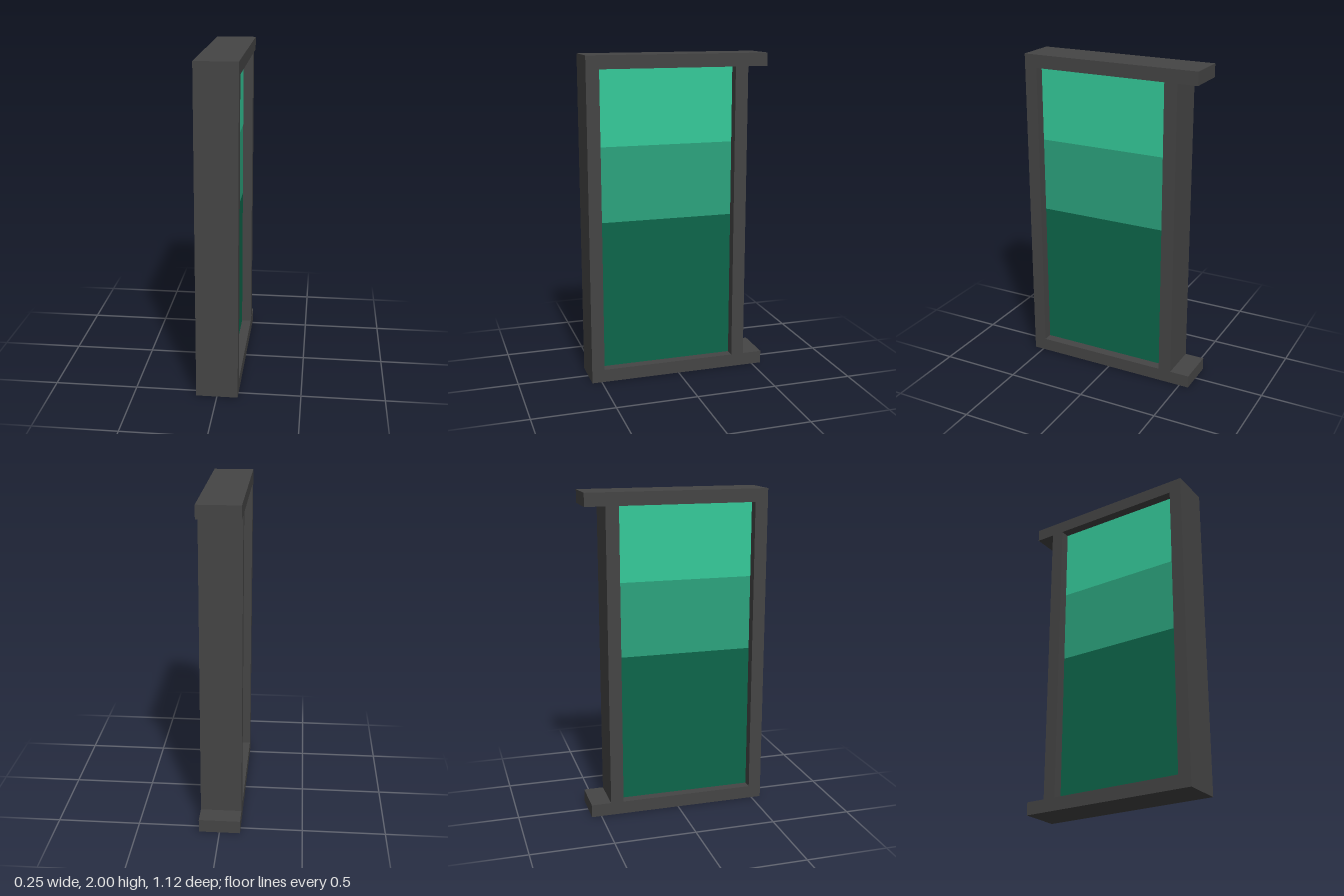
import * as THREE from 'three';

export function createModel() {
  const model = new THREE.Group();
  const material = (name, color) => {
    const m = new THREE.MeshStandardMaterial({ color });
    m.name = name;
    return m;
  };
  const frameGrey = material('frame grey', 0x454545);

  // Glass bands, bottom to top: [name, material, y0, y1]
  const bands = [
    ['lowerPane', material('dark green', 0x0d664a), 0.08, 1.0],
    ['middlePane', material('mid green', 0x2ca37d), 1.0, 1.46],
    ['upperPane', material('light green', 0x35ca9a), 1.46, 1.92],
  ];
  for (const [name, mat, y0, y1] of bands) {
    const pane = new THREE.Mesh(new THREE.BoxGeometry(0.13, y1 - y0, 0.838), mat);
    pane.name = name;
    pane.position.set(0, (y0 + y1) / 2, 0.062);
    model.add(pane);
  }

  // Frame side: a C outline with two rear lugs and a window opening
  const outline = new THREE.Shape([
    [-0.56, 0], [0.56, 0], [0.56, 0.08], [0.437, 0.08],
    [0.437, 1.92], [0.56, 1.92], [0.56, 2], [-0.56, 2],
  ].map(([u, y]) => new THREE.Vector2(u, y)));
  outline.holes.push(new THREE.Path([
    [-0.481, 0.08], [-0.481, 1.92], [0.357, 1.92], [0.357, 0.08],
  ].map(([u, y]) => new THREE.Vector2(u, y))));
  const geometry = new THREE.ExtrudeGeometry(outline, { depth: 0.25, bevelEnabled: false });
  geometry.translate(0, 0, -0.125);
  geometry.rotateY(Math.PI / 2);
  const frame = new THREE.Mesh(geometry, frameGrey);
  frame.name = 'frame';
  model.add(frame);

  return model;
}
